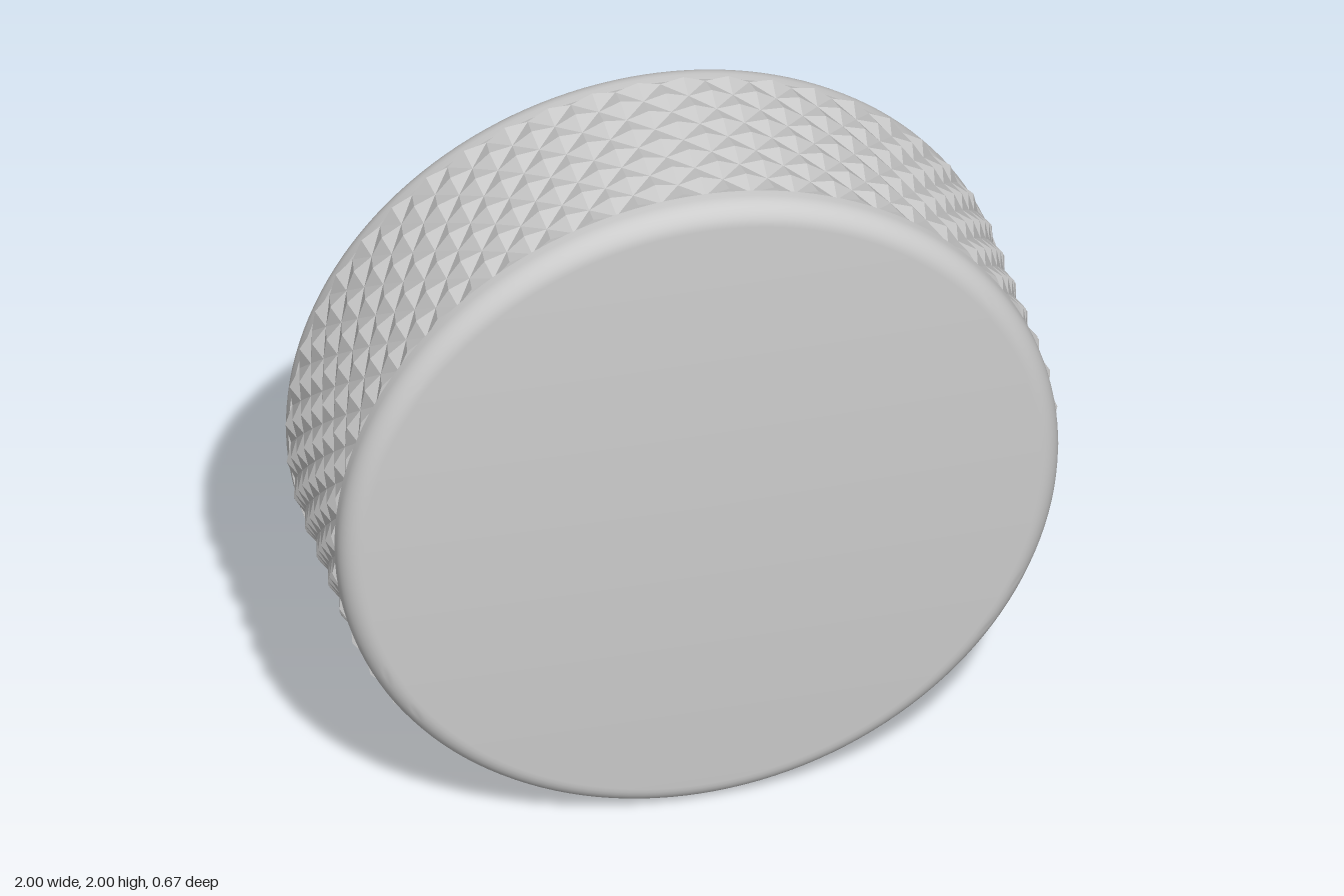
import * as THREE from 'three';
import { toCreasedNormals } from 'three/addons/utils/BufferGeometryUtils.js';

const BODY_R = 0.988, HALF_DEPTH = 0.333, FILLET = 0.06;
const KNURL_HALF = 0.25, PEAK_R = 0.998, GROOVE_R = 0.982, CORE_R = 0.972;
const AROUND = 50, ACROSS = 4; // diamonds around the rim and across its width

// Smooth disc with rounded edges and a shallow band for the knurling
function discGeometry() {
  const half = [];
  for (let i = 0; i <= 8; i++) {
    const a = (i / 8) * Math.PI / 2;
    half.push([BODY_R - FILLET + FILLET * Math.sin(a), HALF_DEPTH - FILLET + FILLET * Math.cos(a)]);
  }
  half.push([BODY_R, KNURL_HALF], [CORE_R, KNURL_HALF]);
  const top = [[0, HALF_DEPTH], ...half];
  const profile = [
    ...top.map(([r, z]) => new THREE.Vector2(r, -z)),
    ...top.reverse().map(([r, z]) => new THREE.Vector2(r, z)),
  ];
  const geometry = new THREE.LatheGeometry(profile, 150);
  geometry.rotateX(Math.PI / 2);
  return toCreasedNormals(geometry, 0.6);
}

// Band of raised diamond pyramids; grooves run along the cell diagonals
function knurlGeometry() {
  const cols = AROUND * 2, rows = ACROSS * 2;
  const point = (i, j) => {
    const row = Math.min(Math.max(j, 0), rows);
    const edge = j < 0 || j > rows; // end rows drop to the core and close the band
    const r = edge ? CORE_R : (i + row) % 2 ? PEAK_R : GROOVE_R;
    const a = (i / cols) * Math.PI * 2 + Math.PI / cols;
    return [r * Math.cos(a), r * Math.sin(a), (row / rows * 2 - 1) * KNURL_HALF];
  };
  const positions = [];
  for (let j = -1; j <= rows; j++) {
    for (let i = 0; i < cols; i++) {
      const a = point(i, j), b = point(i + 1, j), c = point(i + 1, j + 1), d = point(i, j + 1);
      // Split each cell from groove to groove
      const tris = (i + j + 2) % 2 === 0 ? [a, b, c, a, c, d] : [a, b, d, b, c, d];
      tris.forEach((p) => positions.push(...p));
    }
  }
  const geometry = new THREE.BufferGeometry();
  geometry.setAttribute('position', new THREE.Float32BufferAttribute(positions, 3));
  geometry.computeVertexNormals();
  return geometry;
}

export function createModel() {
  const group = new THREE.Group();
  group.name = 'puck';
  const parts = [
    ['disc', discGeometry(), false],
    ['knurledRim', knurlGeometry(), true],
  ];
  for (const [name, geometry, flatShading] of parts) {
    const mesh = new THREE.Mesh(geometry, new THREE.MeshStandardMaterial({ color: 0xcccccc, flatShading }));
    mesh.name = name;
    mesh.position.y = 1;
    group.add(mesh);
  }
  return group;
}
